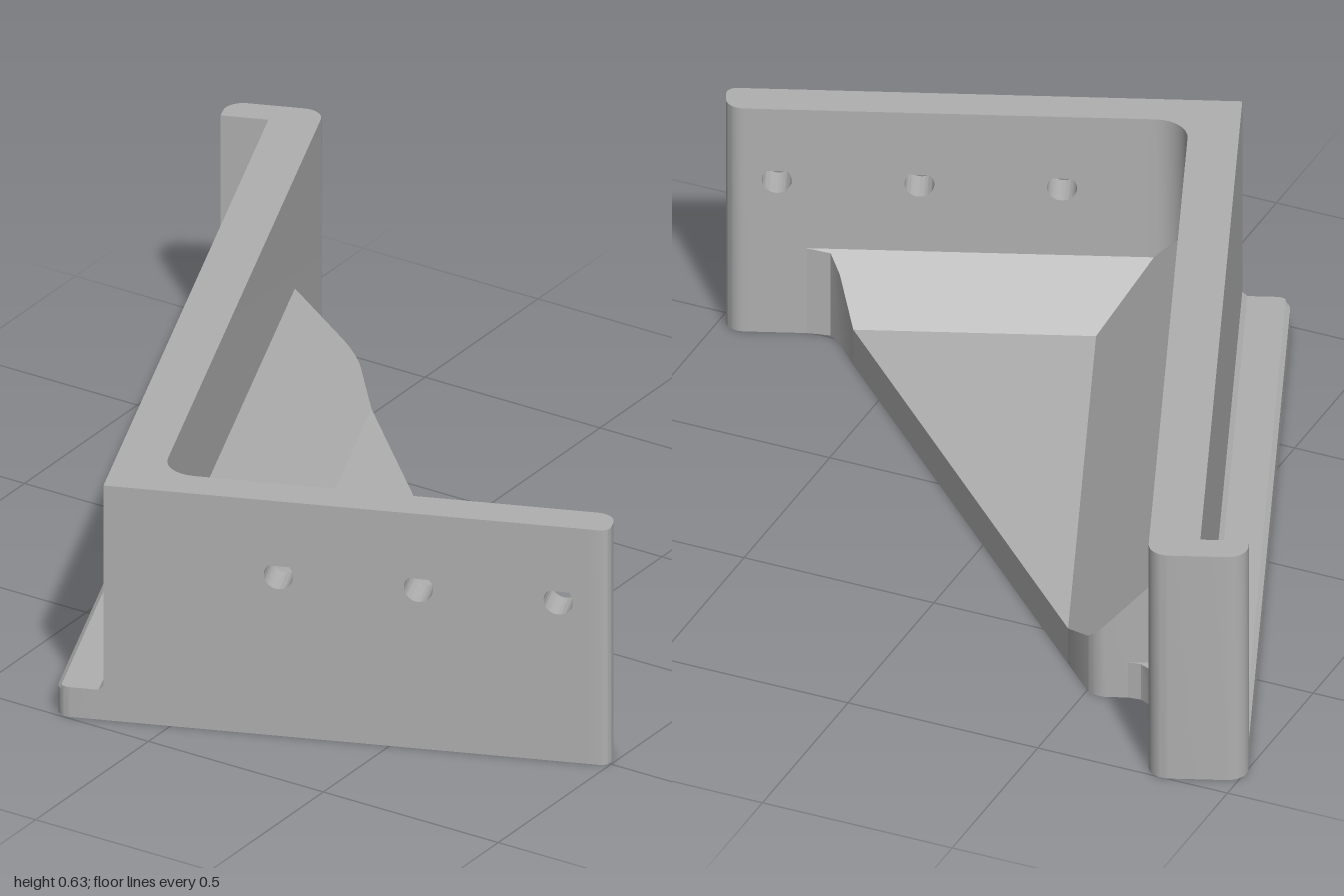
import * as THREE from 'three';
import { toCreasedNormals } from 'three/addons/utils/BufferGeometryUtils.js';

const HEIGHT = 0.63, WALL = 0.093, INNER = 0.24, OUTER = 0.117, FLOOR = 0.1;
const TOE_A = 0.457, TOE_B = 0.233, GUSSET_END = 1.713;

// Outline from [a, b, trim] corners; trim rounds the corner
function outline(points) {
  const shape = new THREE.Shape();
  const n = points.length;
  points.forEach(([x, y, r = 0], i) => {
    const toward = ([px, py], d) => {
      const l = Math.hypot(px - x, py - y);
      return [x + (px - x) / l * d, y + (py - y) / l * d];
    };
    const prev = points[(i + n - 1) % n], next = points[(i + 1) % n];
    const start = toward(prev, r);
    if (i === 0) shape.moveTo(...start); else shape.lineTo(...start);
    if (r) shape.bezierCurveTo(...toward(prev, r * 0.45), ...toward(next, r * 0.45), ...toward(next, r));
  });
  return shape;
}

// Upright prism from a plan outline; the top can follow a rule
function prism(points, base, top, rule) {
  const geo = new THREE.ExtrudeGeometry(outline(points), { depth: top - base, bevelEnabled: false, curveSegments: 8 });
  geo.rotateX(-Math.PI / 2).translate(0, base, 0);
  if (rule) {
    const p = geo.attributes.position;
    for (let i = 0; i < p.count; i++) {
      if (p.getY(i) > (base + top) / 2) p.setXYZ(i, ...rule(p.getX(i), p.getY(i), p.getZ(i)));
    }
  }
  return toCreasedNormals(geo, 0.5);
}

export function createModel() {
  const grey = new THREE.MeshStandardMaterial({ color: 0xb0b0b0 });
  grey.name = 'grey';
  const bracket = new THREE.Group();
  bracket.name = 'bracket';
  const add = (name, geo) => {
    const mesh = new THREE.Mesh(geo, grey);
    mesh.name = name;
    bracket.add(mesh);
  };

  // Long side wall with inner corner fillet and rounded end flange
  add('sideWall', prism([
    [OUTER, 0], [0.36, 0], [0.36, WALL], [INNER, WALL, 0.08],
    [INNER, 2.077, 0.05], [0, 2.077, 0.05], [0, 2.0], [OUTER, 2.0],
  ], 0, HEIGHT));

  // Front wall with teardrop holes
  const panel = outline([[0.36, 0], [1.3, 0], [1.3, HEIGHT], [0.36, HEIGHT]]);
  for (const x of [0.546, 0.889, 1.232]) {
    const hole = new THREE.Path(), r = 0.036, y = 0.43;
    hole.moveTo(x, y + r * Math.SQRT2);
    hole.absarc(x, y, r, Math.PI * 0.75, Math.PI * 2.25, false);
    hole.closePath();
    panel.holes.push(hole);
  }
  const panelGeo = new THREE.ExtrudeGeometry(panel, { depth: WALL, bevelEnabled: false, curveSegments: 20 });
  add('frontWall', toCreasedNormals(panelGeo.translate(0, 0, -WALL), 0.5));
  add('frontWallEnd', prism([[1.3, 0], [1.357, 0, 0.025], [1.357, WALL, 0.045], [1.3, WALL]], 0, HEIGHT));

  // Outer ledge with chamfered edge and a small strip against the wall
  const ledge = [[0, 0, 0.035], [OUTER, 0], [OUTER, 2.0], [0, 2.0]];
  add('ledge', prism(ledge, 0, 0.07));
  add('ledgeTop', prism(ledge, 0.07, 0.08, (x, y, z) => [Math.max(x, 0.012), y, z]));
  add('ledgeStrip', prism([[OUTER - 0.012, 0], [OUTER, 0], [OUTER, 2.0], [OUTER - 0.012, 2.0]], 0.07, 0.1,
    (x, y, z) => [x, x > OUTER - 0.006 ? 0.092 : 0.08, z]));

  // Triangular floor
  const toeEnd = [TOE_A, 1.567], toeFront = [1.041, TOE_B];
  add('floor', prism([[TOE_A, TOE_B], toeFront, toeEnd], 0, FLOOR));

  // Sloped gussets rising from the floor to each wall
  const crease = [0.325, WALL];
  add('sideGusset', prism([
    [INNER, WALL], crease, [TOE_A, TOE_B], toeEnd, [0.393, GUSSET_END, 0.035], [INNER, GUSSET_END],
  ], 0, 1, (x, y, z) => [x, FLOOR + 1.06 * (TOE_A - x), z]));
  add('frontGusset', prism([
    crease, [1.16, WALL], [1.102, WALL + 0.008], [1.078, WALL + 0.045], toeFront, [TOE_A, TOE_B],
  ], 0, 1, (x, y, z) => [x, FLOOR + TOE_B + z, z]));

  // Low fillet where the floor edge meets the side wall
  add('floorFillet', prism([
    [INNER, GUSSET_END], [0.305, GUSSET_END], [0.274, 1.721], [0.25, 1.745], [INNER, 1.778],
  ], 0, FLOOR));

  // Turn the bracket into place
  bracket.rotation.y = 0.3737;
  bracket.position.set(-0.262, 0, 1.005);
  const model = new THREE.Group();
  model.name = 'cornerBracket';
  model.add(bracket);
  return model;
}
